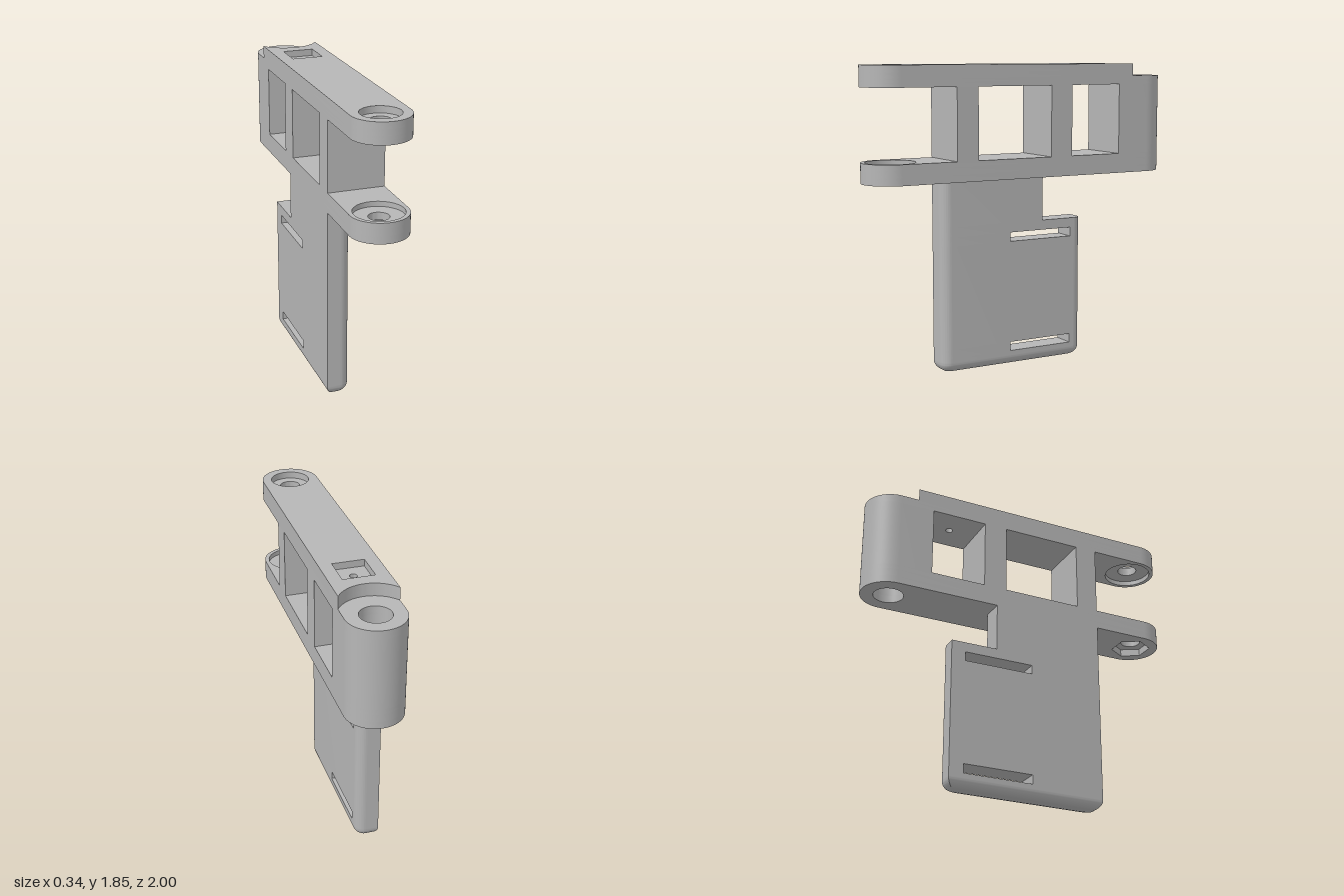
import * as THREE from 'three';
import { toCreasedNormals } from 'three/addons/utils/BufferGeometryUtils.js';

const W = 0.17;          // half width of the arm
const END = 0.83;        // distance of the end bores from the middle
const PX0 = -0.17, PX1 = -0.03, PZ = 0.4875, R = 0.06; // paddle limits and edge radius

// Plan shapes use (x, -z).
function disc(s, r, sides = 48) {
  const pts = [];
  for (let i = 0; i < sides; i++) {
    const a = (i / sides) * Math.PI * 2;
    pts.push(new THREE.Vector2(r * Math.cos(a), s + r * Math.sin(a)));
  }
  return new THREE.Path(pts);
}

function rect(x0, x1, s0, s1) {
  return new THREE.Shape([[x0, s0], [x1, s0], [x1, s1], [x0, s1]].map(p => new THREE.Vector2(...p)));
}

// Whole arm outline with round ends
function capsule() {
  const s = new THREE.Shape();
  s.absarc(0, -END, W, Math.PI, Math.PI * 2, false);
  s.absarc(0, END, W, 0, Math.PI, false);
  s.closePath();
  return s;
}

// Arm outline stopping at a scooped clearance around the barrel
function scooped() {
  const s = new THREE.Shape();
  const a = Math.acos(W / 0.2);
  s.absarc(0, -END, W, Math.PI, Math.PI * 2, false);
  s.absarc(0, END, 0.2, -a, -Math.PI + a, true);
  s.closePath();
  return s;
}

// Rear block ending in the round barrel
function barrel() {
  const s = new THREE.Shape();
  s.moveTo(-W, 0.625);
  s.lineTo(W, 0.625);
  s.absarc(0, END, W, 0, Math.PI, false);
  s.closePath();
  return s;
}

// Paddle section between two s values; the outer corners are rounded on the +x side
function paddleSection(s0, s1) {
  const s = new THREE.Shape();
  s.moveTo(PX0, s0);
  if (s0 <= -PZ) {
    s.lineTo(PX1 - R, s0);
    s.absarc(PX1 - R, s0 + R, R, -Math.PI / 2, 0, false);
  } else s.lineTo(PX1, s0);
  if (s1 >= PZ) {
    s.lineTo(PX1, s1 - R);
    s.absarc(PX1 - R, s1 - R, R, 0, Math.PI / 2, false);
  } else s.lineTo(PX1, s1);
  s.lineTo(PX0, s1);
  s.closePath();
  return s;
}

function slabGeometry(shape, y0, y1, holes = [], steps = 1) {
  shape.holes.push(...holes);
  const g = new THREE.ExtrudeGeometry(shape, { depth: y1 - y0, bevelEnabled: false, curveSegments: 24, steps });
  g.rotateX(-Math.PI / 2);
  g.translate(0, y0, 0);
  return g;
}

export function createModel() {
  const grey = new THREE.MeshStandardMaterial({ color: 0xb6b6b6 });
  grey.name = 'grey plastic';
  const model = new THREE.Group();
  model.name = 'hingedBracket';

  const group = name => {
    const g = new THREE.Group();
    g.name = name;
    model.add(g);
    return g;
  };
  const add = (parent, name, geometry) => {
    const m = new THREE.Mesh(toCreasedNormals(geometry, 0.6), grey);
    m.name = name;
    parent.add(m);
  };
  const slab = (parent, name, shape, y0, y1, holes) => add(parent, name, slabGeometry(shape, y0, y1, holes));

  const bore = () => disc(END, 0.09);
  const pin = () => disc(-END, 0.06);
  const pilot = () => disc(0.455, 0.022, 24);

  // Lower plate: hexagonal nut pocket, pin hole, shallow washer recess
  const lower = group('lowerPlate');
  slab(lower, 'nutPocketLayer', capsule(), 1.18, 1.225, [disc(-END, 0.12, 6), bore()]);
  slab(lower, 'pinHoleLayer', capsule(), 1.225, 1.27, [pin(), bore()]);
  slab(lower, 'washerRecessLayer', capsule(), 1.27, 1.3, [disc(-END, 0.145), bore()]);

  // Uprights between the plates
  const uprights = group('uprights');
  slab(uprights, 'frontUpright', rect(-W, W, -0.4875, -0.35), 1.3, 1.725);
  slab(uprights, 'middleUpright', rect(-W, W, 0.14, 0.285), 1.3, 1.725);
  slab(uprights, 'rearBarrel', barrel(), 1.3, 1.725, [bore()]);

  // Upper plate: washer recess below, screw head recess and square pocket on top
  const upper = group('upperPlate');
  slab(upper, 'washerRecessLayer', capsule(), 1.725, 1.755, [disc(-END, 0.145), pilot(), bore()]);
  slab(upper, 'pinHoleLayer', capsule(), 1.755, 1.775, [pin(), pilot(), bore()]);
  slab(upper, 'scoopedLayer', scooped(), 1.775, 1.81, [pin(), pilot()]);
  slab(upper, 'pocketLayer', scooped(), 1.81, 1.85, [disc(-END, 0.115), rect(-0.093, 0.093, 0.36, 0.55)]);

  // Paddle hanging from the arm, with two strap slots
  const paddle = group('paddle');
  const bottom = slabGeometry(paddleSection(-PZ, PZ), 0, 0.09, [], 18);
  const pos = bottom.attributes.position;
  const cx = (PX0 + PX1) / 2, hx = (PX1 - PX0) / 2;
  for (let i = 0; i < pos.count; i++) {
    // Round the bottom edge by drawing each section inward
    const d = Math.max(0, R - pos.getY(i));
    const inset = R - Math.sqrt(Math.max(0, R * R - d * d));
    pos.setX(i, cx + (pos.getX(i) - cx) * (hx - inset) / hx);
    pos.setZ(i, pos.getZ(i) * (PZ - inset) / PZ);
  }
  add(paddle, 'roundedBottom', bottom);
  for (const [y0, y1] of [[0.09, 0.145], [0.775, 0.83]]) {
    slab(paddle, 'slotFrontSide', paddleSection(-PZ, -0.03), y0, y1);
    slab(paddle, 'slotRearSide', paddleSection(0.4, PZ), y0, y1);
  }
  slab(paddle, 'panel', paddleSection(-PZ, PZ), 0.145, 0.775);
  slab(paddle, 'panelTop', paddleSection(-PZ, PZ), 0.83, 0.89);
  slab(paddle, 'neck', paddleSection(-PZ, 0.2), 0.89, 1.18);

  return model;
}
